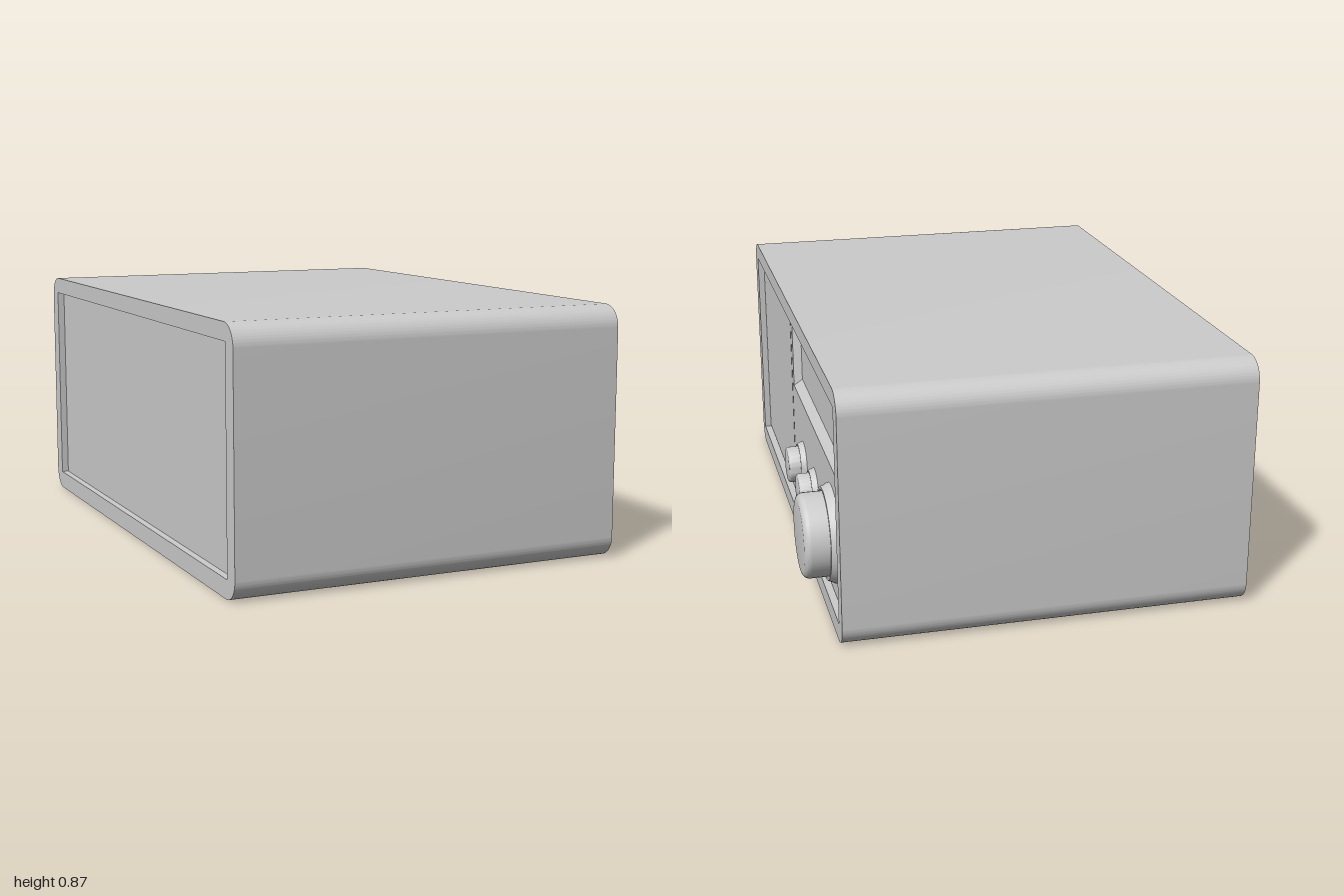
import * as THREE from 'three';
import { toCreasedNormals } from 'three/addons/utils/BufferGeometryUtils.js';

// Profiles are drawn in (u, y) with u = -z and extruded along +x.
const material = new THREE.MeshStandardMaterial({ color: 0xcccccc });
const doubleMaterial = new THREE.MeshStandardMaterial({ color: 0xcccccc, side: THREE.DoubleSide });

function mesh(name, geometry, mat = material) {
  const m = new THREE.Mesh(geometry, mat);
  m.name = name;
  return m;
}

function rect(Type, u0, u1, y0, y1) {
  return new Type([[u0, y0], [u1, y0], [u1, y1], [u0, y1]].map(([u, y]) => new THREE.Vector2(u, y)));
}

function roundedRect(u0, u1, y0, y1, r) {
  const s = new THREE.Shape();
  s.absarc(u1 - r, y0 + r, r, -Math.PI / 2, 0);
  s.absarc(u1 - r, y1 - r, r, 0, Math.PI / 2);
  s.absarc(u0 + r, y1 - r, r, Math.PI / 2, Math.PI);
  s.absarc(u0 + r, y0 + r, r, Math.PI, Math.PI * 1.5);
  s.closePath();
  return s;
}

function extrudeX(shape, x0, x1) {
  const g = new THREE.ExtrudeGeometry(shape, { depth: x1 - x0, bevelEnabled: false, curveSegments: 12 });
  g.translate(0, 0, x0).rotateY(Math.PI / 2);
  return toCreasedNormals(g, 0.5);
}

// Four sloping faces joining an outer rectangle to an inner one
function slopedFrame(outer, inner, xOuter, xInner) {
  const corners = ([u0, u1, y0, y1], x) => [[x, y0, -u0], [x, y0, -u1], [x, y1, -u1], [x, y1, -u0]];
  const a = corners(outer, xOuter), b = corners(inner, xInner), pos = [];
  for (let i = 0; i < 4; i++) {
    const j = (i + 1) % 4;
    pos.push(...a[i], ...a[j], ...b[j], ...a[i], ...b[j], ...b[i]);
  }
  const g = new THREE.BufferGeometry();
  g.setAttribute('position', new THREE.Float32BufferAttribute(pos, 3));
  g.computeVertexNormals();
  return g;
}

// Lathe whose axis points along +x; points are [radius, x]
function latheX(points) {
  const g = new THREE.LatheGeometry(points.map(([r, x]) => new THREE.Vector2(r, x)), 48);
  g.rotateZ(-Math.PI / 2);
  return toCreasedNormals(g, 0.6);
}

export function createModel() {
  const model = new THREE.Group();
  const back = -0.74, front = 0.65, panel = 0.627;

  // Rounded sleeve, open at both ends
  const sleeve = roundedRect(-1, 1, 0, 0.87, 0.075);
  sleeve.holes.push(rect(THREE.Path, -0.935, 0.935, 0.065, 0.81));
  model.add(mesh('case', extrudeX(sleeve, back, front)));

  // Recessed rear panel and the backing behind the face panels
  const inside = rect(THREE.Shape, -0.935, 0.935, 0.065, 0.81);
  model.add(mesh('rearPanel', extrudeX(inside, back + 0.025, back + 0.05)));
  model.add(mesh('faceBacking', extrudeX(inside, panel - 0.06, panel - 0.03)));

  // Plain panel beside the controls
  model.add(mesh('speakerPanel', extrudeX(rect(THREE.Shape, -0.926, -0.164, 0.074, 0.801), panel - 0.03, panel)));

  // Control panel with a window opening and bevelled display recess
  const outer = [-0.118, 0.89, 0.525, 0.767], inner = [-0.09, 0.863, 0.556, 0.735];
  const controls = rect(THREE.Shape, -0.156, 0.927, 0.072, 0.803);
  controls.holes.push(rect(THREE.Path, ...outer));
  model.add(mesh('controlPanel', extrudeX(controls, panel - 0.03, panel)));
  model.add(mesh('displayBevel', slopedFrame(outer, inner, panel, panel - 0.028), doubleMaterial));
  model.add(mesh('display', extrudeX(rect(THREE.Shape, ...inner), panel - 0.03, panel - 0.028)));

  // Knobs, each in a raised collar
  const knobs = [
    ['leftKnob', -0.08, 0.065, 0.082, 0.69, 0.010],
    ['middleKnob', -0.345, 0.065, 0.082, 0.69, 0.010],
    ['tuningKnob', -0.715, 0.143, 0.17, 0.74, 0.024],
  ];
  for (const [name, z, r, collarR, top, fillet] of knobs) {
    const knob = new THREE.Group();
    knob.name = name;
    knob.position.set(0, 0.288, z);
    const lip = r + (collarR - r) * 0.5, lipX = r > 0.1 ? 0.657 : 0.648;
    knob.add(mesh('collar', latheX([
      [collarR, panel - 0.002], [collarR - 0.002, panel + 0.006], [lip, lipX], [r + 0.005, lipX], [r + 0.005, panel],
    ]), doubleMaterial));
    const profile = [[r, panel - 0.01]];
    for (let i = 0; i <= 6; i++) {
      const a = (i / 6) * Math.PI / 2;
      profile.push([r - fillet + fillet * Math.cos(a), top - fillet + fillet * Math.sin(a)]);
    }
    profile.push([0, top]);
    knob.add(mesh('cap', latheX(profile)));
    model.add(knob);
  }
  return model;
}
